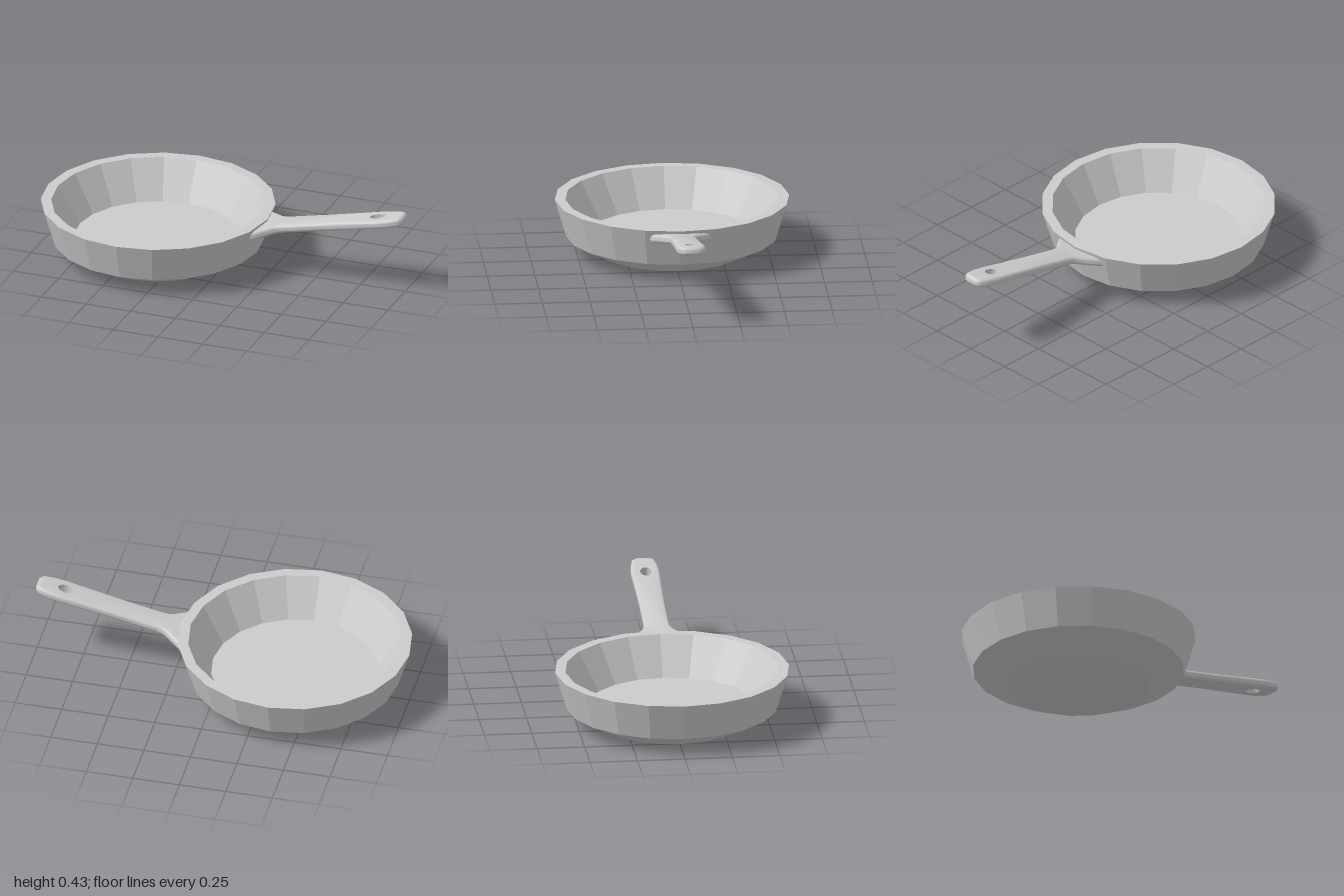
import * as THREE from 'three';
import { toCreasedNormals } from 'three/addons/utils/BufferGeometryUtils.js';

const PAN_X = -0.385;
const SIDES = 20;

export function createModel() {
  const model = new THREE.Group();

  // Faceted pan body: outside wall, rim, inside wall and floor in one closed profile
  const profile = [
    [0, 0], [0.375, 0], [0.555, 0.09], [0.615, 0.29],
    [0.56, 0.29], [0.44, 0.09], [0, 0.09],
  ].map(([r, y]) => new THREE.Vector2(r, y));
  const pan = new THREE.Mesh(
    new THREE.LatheGeometry(profile, SIDES),
    new THREE.MeshStandardMaterial({ color: 0xcccccc, flatShading: true }),
  );
  pan.name = 'panBody';
  pan.position.x = PAN_X;
  model.add(pan);

  // Handle outline (length, half width), mirrored across its centre line
  const half = [
    [-0.03, 0.17], [0.0, 0.155], [0.055, 0.113], [0.09, 0.084], [0.115, 0.072],
    [0.15, 0.068], [0.35, 0.068], [0.52, 0.072], [0.68, 0.077],
    [0.74, 0.073], [0.795, 0.061], [0.81, 0.048], [0.817, 0.03],
  ];
  const outline = [
    ...half.map(([s, w]) => new THREE.Vector2(s, -w)),
    ...half.map(([s, w]) => new THREE.Vector2(s, w)).reverse(),
  ];
  const shape = new THREE.Shape(outline);

  // Oval hanging hole near the tip
  const hole = { s: 0.665, a: 0.042, b: 0.03 };
  shape.holes.push(new THREE.Path().absellipse(hole.s, 0, hole.a, hole.b, 0, Math.PI * 2, true));

  const thickness = 0.046;
  const bevel = 0.018;
  const geometry = new THREE.ExtrudeGeometry(shape, {
    depth: thickness - 2 * bevel,
    bevelThickness: bevel,
    bevelSize: bevel,
    bevelOffset: -bevel,
    bevelSegments: 4,
    curveSegments: 16,
  });

  // Keep the hole straight-walled: pull its bevelled rings back to the oval
  const p = geometry.attributes.position;
  for (let i = 0; i < p.count; i++) {
    const dx = p.getX(i) - hole.s;
    const dy = p.getY(i);
    const d = Math.hypot(dx / hole.a, dy / hole.b);
    if (d < 1.75) p.setXY(i, hole.s + dx / d, dy / d);
  }
  geometry.translate(0, 0, -(thickness - 2 * bevel) / 2);
  geometry.rotateX(-Math.PI / 2);

  // Rising handle, its flared root buried in the pan wall
  const handle = new THREE.Mesh(
    toCreasedNormals(geometry, 0.7),
    new THREE.MeshStandardMaterial({ color: 0xcccccc }),
  );
  handle.name = 'handle';
  handle.position.set(0.2, 0.246, 0);
  handle.rotation.z = THREE.MathUtils.degToRad(12);
  model.add(handle);

  return model;
}
